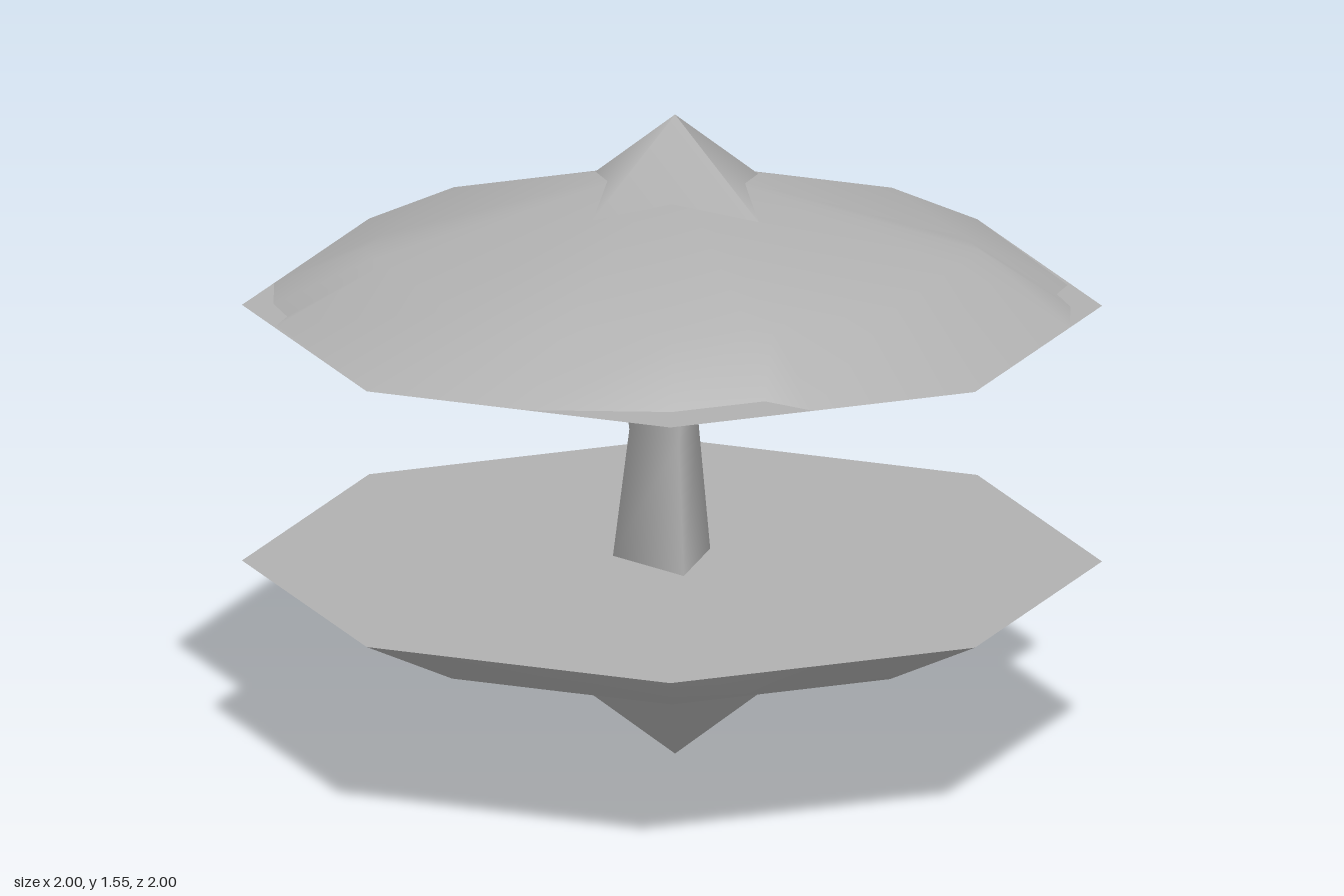
import * as THREE from 'three';

const HEIGHT = 1.55, RIM = 1.085, SHOULDER = 1.22;

// Half of the canopy outline (x, z); the other half is its half-turn copy
const HALF = [[1, 0], [0.845, 0.375], [0.71, 0.4], [0.62, 0.615], [0.37, 0.845],
  [0, 1], [-0.53, 0.77], [-0.565, 0.7], [-0.66, 0.65], [-0.78, 0.53]];

// Smooth shell: apex, octagonal shoulder ring, notched rim. Mirrored in y when lower.
function shellGeometry(lower) {
  const rim = [...HALF, ...HALF.map(([x, z]) => [-x, -z])];
  const n = rim.length;
  const flip = y => (lower ? HEIGHT - y : y);
  const pos = [0, flip(1.43), 0];
  for (const [x, z] of rim) {
    const a = Math.atan2(z, x), step = Math.PI / 4;
    const off = a - (Math.floor(a / step) + 0.5) * step;
    const r = 0.72 * Math.cos(step / 2) / Math.cos(off);
    pos.push(r * Math.cos(a), flip(SHOULDER), r * Math.sin(a));
  }
  for (const [x, z] of rim) pos.push(x, flip(RIM), z);
  const index = [];
  const tri = (a, b, c) => index.push(...(lower ? [a, c, b] : [a, b, c]));
  for (let i = 0; i < n; i++) {
    const j = (i + 1) % n;
    tri(0, 1 + j, 1 + i);
    tri(1 + i, 1 + j, 1 + n + j);
    tri(1 + i, 1 + n + j, 1 + n + i);
  }
  const g = new THREE.BufferGeometry();
  g.setAttribute('position', new THREE.Float32BufferAttribute(pos, 3));
  g.setIndex(index);
  g.computeVertexNormals();
  return g;
}

export function createModel() {
  const model = new THREE.Group();
  const grey = new THREE.MeshStandardMaterial({ color: 0xb0b0b0, side: THREE.DoubleSide });
  grey.name = 'grey';

  const add = (parent, name, geometry) => {
    const mesh = new THREE.Mesh(geometry, grey);
    mesh.name = name;
    parent.add(mesh);
    return mesh;
  };

  for (const lower of [false, true]) {
    const half = new THREE.Group();
    half.name = lower ? 'lowerBowl' : 'upperCanopy';
    model.add(half);
    add(half, 'shell', shellGeometry(lower));

    // Flat octagonal plate closing the shell
    const plate = new THREE.CircleGeometry(1, 8);
    plate.rotateX(lower ? -Math.PI / 2 : Math.PI / 2);
    add(half, 'plate', plate).position.y = lower ? HEIGHT - RIM : RIM;

    // Four-sided pointed tip
    const tip = new THREE.ConeGeometry(0.285, 0.21, 4, 1, true);
    if (lower) tip.rotateX(Math.PI);
    add(half, 'tip', tip).position.set(0.01, lower ? 0.105 : HEIGHT - 0.105, 0);
  }

  // Three-sided column with a narrow waist
  const column = new THREE.CylinderGeometry(0.135, 0.135, 2 * RIM - HEIGHT, 3, 2, true);
  column.rotateY(Math.PI);
  const p = column.attributes.position;
  for (let i = 0; i < p.count; i++) {
    if (Math.abs(p.getY(i)) < 0.01) {
      p.setX(i, p.getX(i) * 0.7);
      p.setZ(i, p.getZ(i) * 0.72);
    }
  }
  add(model, 'column', column).position.set(-0.01, HEIGHT / 2, 0);

  return model;
}
